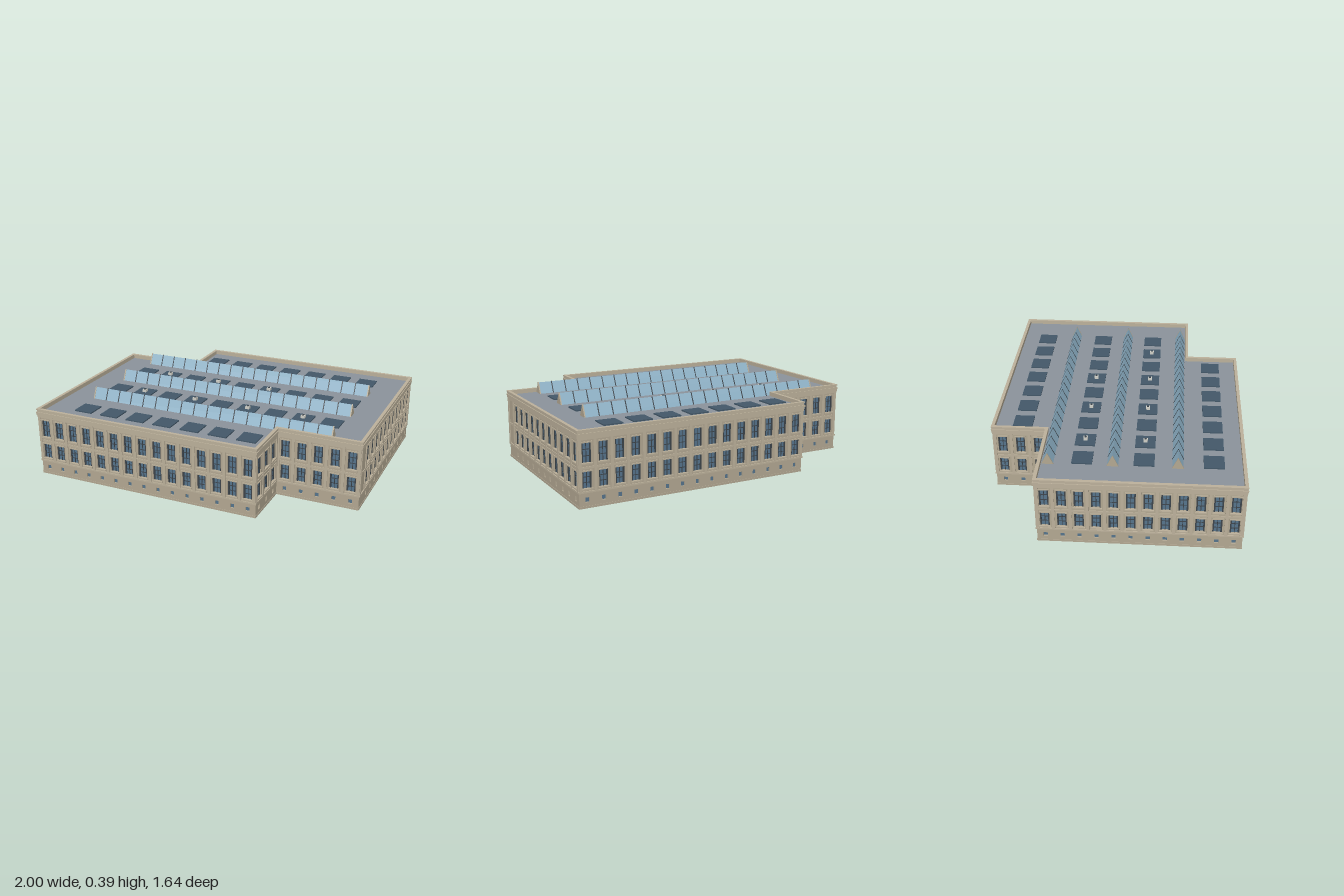
import * as THREE from 'three';
import { mergeGeometries } from 'three/addons/utils/BufferGeometryUtils.js';

const COLORS = { stone: 0xb3a892, trim: 0xbcb19b, roof: 0x8b939b, glass: 0x56748c, frame: 0x3c444b, panel: 0x435869, skylight: 0x8fb3c8, vent: 0xd0d0c8 };
const ROOF = 0.332, SKIN = 0.012;

// Stepped footprint, grown outward by o; counter-clockwise in (u, v)
function outline(o) {
  const U = 0.796 + o, V = 0.605 + o, u = 0.382 + o, v = 0.34 + o;
  return [[-U, -V], [u, -V], [u, -v], [U, -v], [U, V], [-u, V], [-u, v], [-U, v]].map(p => new THREE.Vector2(...p));
}

// Slab with the footprint's outline; a hole offset turns it into a ring
function slab(o, y0, y1, holeOffset) {
  const shape = new THREE.Shape(outline(o));
  if (holeOffset !== undefined) shape.holes.push(new THREE.Path(outline(holeOffset)));
  return new THREE.ExtrudeGeometry(shape, { depth: y1 - y0, bevelEnabled: false }).rotateX(-Math.PI / 2).translate(0, y0, 0);
}

function box(w, h, d, x, y, z) {
  return new THREE.BoxGeometry(w, h, d).translate(x, y, z);
}

function rectPath(x, y0, y1, w) {
  return new THREE.Path([[x - w / 2, y0], [x - w / 2, y1], [x + w / 2, y1], [x + w / 2, y0]].map(p => new THREE.Vector2(...p)));
}

// Triangular prism along x, centred on x = 0
function prism(width, height, length) {
  const tri = new THREE.Shape([[-width / 2, 0], [width / 2, 0], [0, height]].map(p => new THREE.Vector2(...p)));
  return new THREE.ExtrudeGeometry(tri, { depth: length, bevelEnabled: false }).translate(0, 0, -length / 2).rotateY(Math.PI / 2);
}

// One facade in its own frame: x along the wall, z outward
function facade(length, bays, blank) {
  const parts = { stone: [], trim: [], glass: [], frame: [] };
  const top = 0.325, w = 0.044, step = (length - blank) / bays;
  const wall = new THREE.Shape([[0, 0], [length, 0], [length, top], [0, top]].map(p => new THREE.Vector2(...p)));
  for (let i = 0; i <= bays; i++) {
    // pilaster at each bay boundary
    const edge = i === bays ? -0.007 : i === 0 && !blank ? 0.007 : 0;
    parts.trim.push(box(0.014, 0.242, 0.005, blank + i * step + edge, 0.198, 0.002));
    if (i === bays) break;
    const x = blank + (i + 0.5) * step;
    // basement window
    wall.holes.push(rectPath(x, 0.027, 0.049, 0.02));
    parts.glass.push(box(0.024, 0.026, 0.003, x, 0.038, -0.01));
    // two tall windows
    for (const [y0, y1] of [[0.09, 0.166], [0.205, 0.294]]) {
      const h = y1 - y0, yc = (y0 + y1) / 2;
      wall.holes.push(rectPath(x, y0, y1, w));
      parts.glass.push(box(w + 0.004, h + 0.004, 0.003, x, yc, -0.01));
      for (const s of [-1, 1]) parts.frame.push(box(0.007, h, 0.004, x + s * (w / 2 - 0.0035), yc, -0.007));
      parts.frame.push(box(0.003, h, 0.003, x, yc, -0.0075));
      for (const f of [0.33, 0.66]) parts.frame.push(box(w, 0.003, 0.003, x, y0 + h * f, -0.0075));
      parts.trim.push(box(w + 0.01, 0.006, 0.007, x, y0 - 0.003, 0.002));
      parts.trim.push(box(w + 0.008, 0.006, 0.005, x, y1 + 0.003, 0.001));
    }
  }
  if (blank) parts.trim.push(box(0.014, 0.242, 0.005, 0.007, 0.198, 0.002));
  parts.stone.push(new THREE.ExtrudeGeometry(wall, { depth: SKIN, bevelEnabled: false }).translate(0, 0, -SKIN));
  return parts;
}

export function createModel() {
  const model = new THREE.Group();
  const building = new THREE.Group();
  building.name = 'building';
  building.rotation.y = -0.798;
  model.add(building);
  const materials = {};
  for (const [key, color] of Object.entries(COLORS)) materials[key] = new THREE.MeshStandardMaterial({ color });

  const add = (parent, name, key, geometries) => {
    const flat = geometries.map(g => (g.index ? g.toNonIndexed() : g));
    const mesh = new THREE.Mesh(mergeGeometries(flat), materials[key]);
    mesh.name = name;
    parent.add(mesh);
  };

  // Solid core, base plate and roof deck
  add(building, 'core', 'stone', [slab(-SKIN, 0.001, 0.322), slab(0.002, 0, 0.01)]);
  add(building, 'roofDeck', 'roof', [slab(-0.009, 0.322, ROOF)]);

  // Horizontal bands, cornice and parapet
  add(building, 'bands', 'trim', [
    slab(0.005, 0.07, 0.078, -0.003), slab(0.003, 0.178, 0.188, -0.003),
    slab(0.004, 0.308, 0.318, -0.003), slab(0.006, 0.318, 0.328, -0.003),
    slab(0.008, 0.328, 0.337, -0.009), slab(0.004, 0.337, 0.347, -0.009), slab(0.007, 0.347, 0.353, -0.009),
  ]);

  // Eight facades around the footprint
  const corners = outline(0);
  const bays = [15, 3, 5, 11, 15, 3, 5, 12];
  corners.forEach((p, i) => {
    const d = corners[(i + 1) % 8].clone().sub(p);
    const group = new THREE.Group();
    group.name = 'facade' + (i + 1);
    group.position.set(p.x, 0, -p.y);
    group.rotation.y = Math.atan2(d.y, d.x);
    const parts = facade(d.length(), bays[i], i === 3 ? 0.08 : 0);
    const names = { stone: 'wall', trim: 'pilastersAndSills', glass: 'windowGlass', frame: 'windowFrames' };
    for (const key in parts) add(group, names[key], key, parts[key]);
    building.add(group);
  });

  // Three long ridge skylights with ribs and gable ends
  const length = 1.29, segments = 18;
  for (const z of [-0.3, 0, 0.3]) {
    const group = new THREE.Group();
    group.name = 'ridgeSkylight';
    group.position.set(0, ROOF, z);
    add(group, 'skylightGlass', 'skylight', [prism(0.052, 0.056, length)]);
    const ribs = [];
    for (let i = 1; i < segments; i++) ribs.push(prism(0.055, 0.058, 0.005).translate((i / segments - 0.5) * length, 0, 0));
    add(group, 'skylightRibs', 'frame', ribs);
    add(group, 'skylightGables', 'stone', [-1, 1].map(s => prism(0.055, 0.058, 0.006).translate(s * length / 2, 0, 0)));
    building.add(group);
  }

  // Rows of square roof panels, some with a small vent
  const rows = [
    { z: -0.464, start: -0.3, count: 7, vents: [] },
    { z: -0.143, start: -0.592, count: 9, vents: [1, 3, 5] },
    { z: 0.144, start: -0.592, count: 9, vents: [1, 3, 5, 7] },
    { z: 0.466, start: -0.592, count: 7, vents: [] },
  ];
  const panels = [], vents = [], ventCaps = [];
  for (const { z, start, count, vents: vented } of rows) {
    for (let i = 0; i < count; i++) {
      const x = start + i * 0.1475;
      panels.push(box(0.096, 0.006, 0.096, x, ROOF + 0.003, z));
      if (!vented.includes(i)) continue;
      vents.push(box(0.02, 0.014, 0.02, x, ROOF + 0.013, z));
      ventCaps.push(box(0.01, 0.004, 0.01, x, ROOF + 0.021, z));
    }
  }
  add(building, 'roofPanels', 'panel', panels);
  add(building, 'roofVents', 'vent', vents);
  add(building, 'ventCaps', 'frame', ventCaps);
  return model;
}
